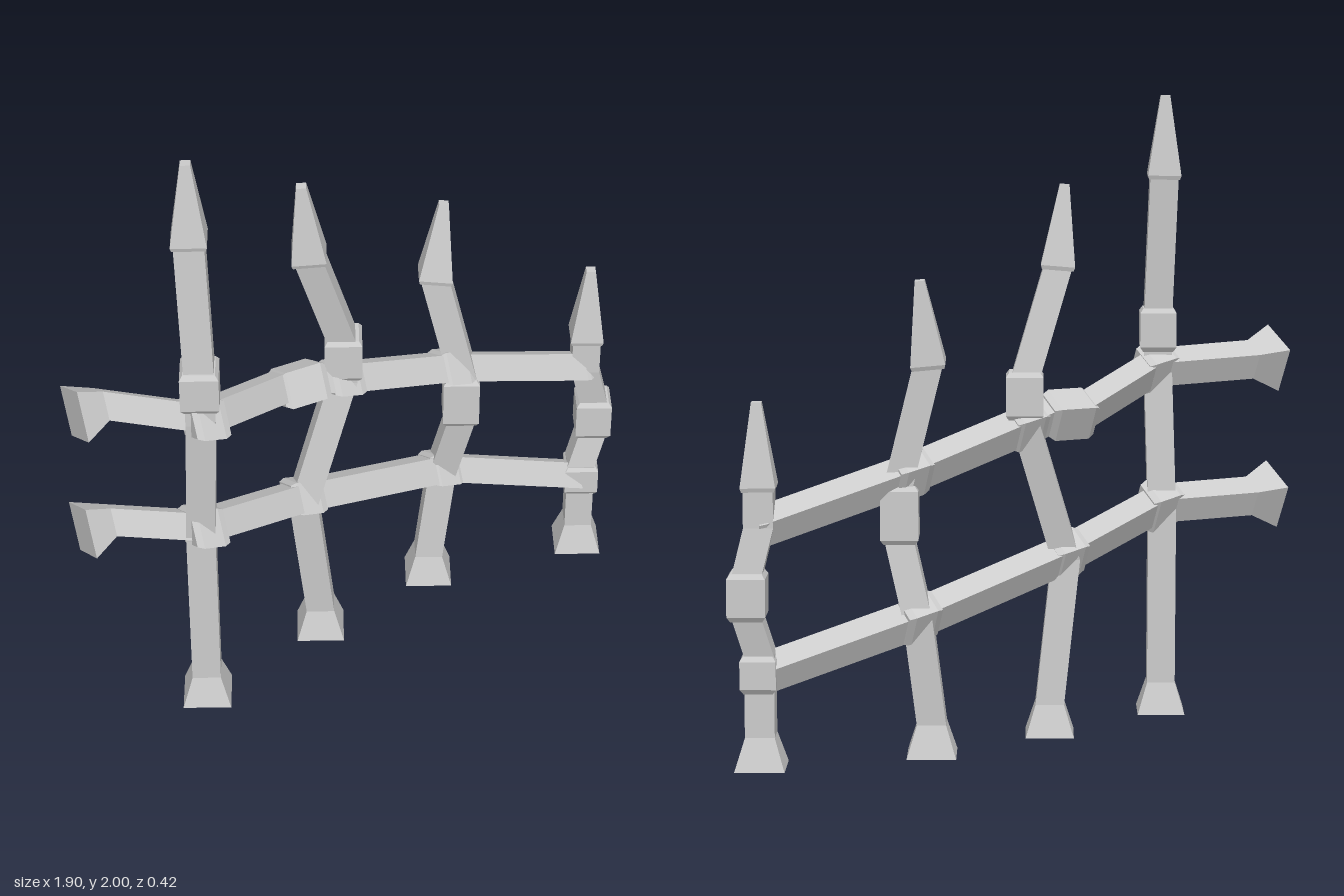
import * as THREE from 'three';

const material = new THREE.MeshStandardMaterial({ color: 0xcccccc, flatShading: true });
const V = (x, y, z) => new THREE.Vector3(x, y, z);
const C = Math.cos(0.46), S = Math.sin(0.46);
// Section axes: bars are square and twisted about their length
const POST = [V(-S, 0, C), V(C, 0, S)];
const RAIL = [V(0, C, -S), V(0, S, C)];

// Square loft through sections [x, y, z, side]
function loft(name, sections, [u, v]) {
  const rings = sections.map(([x, y, z, s]) =>
    [[-1, -1], [1, -1], [1, 1], [-1, 1]].map(([a, b]) =>
      V(x, y, z).addScaledVector(u, a * s / 2).addScaledVector(v, b * s / 2)));
  const pts = [];
  const quad = (a, b, c, d) => pts.push(a, b, c, a, c, d);
  for (let i = 0; i + 1 < rings.length; i++) {
    for (let k = 0; k < 4; k++) {
      const n = (k + 1) % 4;
      quad(rings[i][k], rings[i][n], rings[i + 1][n], rings[i + 1][k]);
    }
  }
  const first = rings[0], last = rings[rings.length - 1];
  quad(first[3], first[2], first[1], first[0]);
  quad(...last);
  const geometry = new THREE.BufferGeometry().setFromPoints(pts);
  geometry.computeVertexNormals();
  const mesh = new THREE.Mesh(geometry, material);
  mesh.name = name;
  return mesh;
}

const BAR = 0.09, BLOCK = 0.116, KNOT = 0.122;

// Bent post: flared foot, shaft, collars and a leaning spearhead
function post({ path, collars, tip }) {
  const group = new THREE.Group();
  group.name = 'post';
  const [bx, , bz] = path[0];
  group.add(loft('foot', [[bx, 0, bz, 0.152], [bx, 0.1, bz, BAR]], POST));
  group.add(loft('shaft', path.map(p => [...p, BAR]), POST));
  for (const [x, y0, y1, z, size] of collars) {
    group.add(loft('collar', [
      [x, y0, z, size - 0.02], [x, y0 + 0.015, z, size],
      [x, y1 - 0.015, z, size], [x, y1, z, size - 0.02]], POST));
  }
  const base = path[path.length - 1];
  const lean = V(...tip).sub(V(...base)).normalize();
  const q = new THREE.Quaternion().setFromUnitVectors(V(0, 1, 0), lean);
  const axes = POST.map(a => a.clone().applyQuaternion(q));
  const along = t => base.map((b, i) => b + (tip[i] - b) * t);
  group.add(loft('spearhead',
    [[...along(-0.04), 0.098], [...along(0.01), 0.106], [...tip, 0.03]], axes));
  return group;
}

// Rail with a flared left end and a thick knot at every crossing
function rail(start, crossings, block) {
  const group = new THREE.Group();
  group.name = 'rail';
  const path = [start, ...crossings];
  if (block) path.splice(2, 0, [-0.27, block[1] + 0.01, block[2]], [-0.14, block[1], block[2]]);
  group.add(loft('railBar', path.map(p => [...p, BAR]), RAIL));
  const [x, y, z] = start;
  group.add(loft('railEnd', [[x - 0.09, y, z + 0.008, 0.156], [x, y, z, BAR]], RAIL));
  crossings.forEach(([cx, cy, cz], i) => {
    const end = i === crossings.length - 1;
    const h = end ? 0.035 : 0.055, size = i === 0 ? KNOT : end ? 0.085 : 0.108;
    group.add(loft('knot', [
      [cx - h, cy + h * 0.2, cz, size - 0.015], [cx - h + 0.02, cy + h * 0.15, cz, size],
      [cx + h - 0.02, cy - h * 0.15, cz, size], [cx + h, cy - h * 0.2, cz, size - 0.015]], RAIL));
  });
  if (block) {
    const [kx, ky, kz] = block;
    group.add(loft('railCollar', [
      [kx - 0.08, ky, kz, 0.096], [kx - 0.062, ky, kz, BLOCK],
      [kx + 0.055, ky, kz, BLOCK], [kx + 0.075, ky, kz, 0.096]], RAIL));
  }
  return group;
}

export function createModel() {
  const model = new THREE.Group();
  model.name = 'fence';

  const posts = [
    {
      path: [[-0.61, 0, 0.09], [-0.61, 0.66, 0.09], [-0.61, 1.13, 0.125], [-0.61, 1.3, 0.125], [-0.61, 1.745, 0.09]],
      collars: [[-0.61, 1.18, 1.32, 0.125, BLOCK]],
      tip: [-0.61, 2, 0.085],
    },
    {
      path: [[-0.145, 0, -0.03], [-0.145, 0.1, -0.03], [-0.2, 0.56, -0.03], [-0.058, 1.0, -0.03], [-0.055, 1.13, -0.03], [-0.17, 1.48, -0.03]],
      collars: [[-0.056, 1.01, 1.16, -0.03, BLOCK]],
      tip: [-0.193, 1.735, -0.03],
    },
    {
      path: [[0.3, 0, -0.11], [0.3, 0.1, -0.11], [0.345, 0.43, -0.11], [0.38, 0.66, -0.06], [0.385, 0.84, -0.06], [0.308, 1.21, -0.11]],
      collars: [[0.382, 0.66, 0.84, -0.06, BLOCK]],
      tip: [0.34, 1.465, -0.12],
    },
    {
      path: [[0.828, 0, -0.025], [0.828, 0.35, -0.025], [0.868, 0.47, -0.028], [0.868, 0.59, -0.028], [0.828, 0.74, -0.03], [0.828, 0.86, -0.03]],
      collars: [[0.832, 0.235, 0.35, -0.025, 0.109], [0.868, 0.46, 0.605, -0.028, BLOCK]],
      tip: [0.833, 1.115, -0.03],
    },
  ];
  posts.forEach(p => model.add(post(p)));

  model.add(rail([-0.86, 1.155, -0.04],
    [[-0.6, 1.125, 0.125], [-0.06, 0.99, -0.03], [0.35, 0.87, -0.065], [0.81, 0.74, -0.03]],
    [-0.205, 1.015, -0.03]));
  model.add(rail([-0.86, 0.71, -0.04],
    [[-0.6, 0.685, 0.09], [-0.2, 0.57, -0.03], [0.345, 0.43, -0.11], [0.81, 0.29, -0.03]]));
  return model;
}
